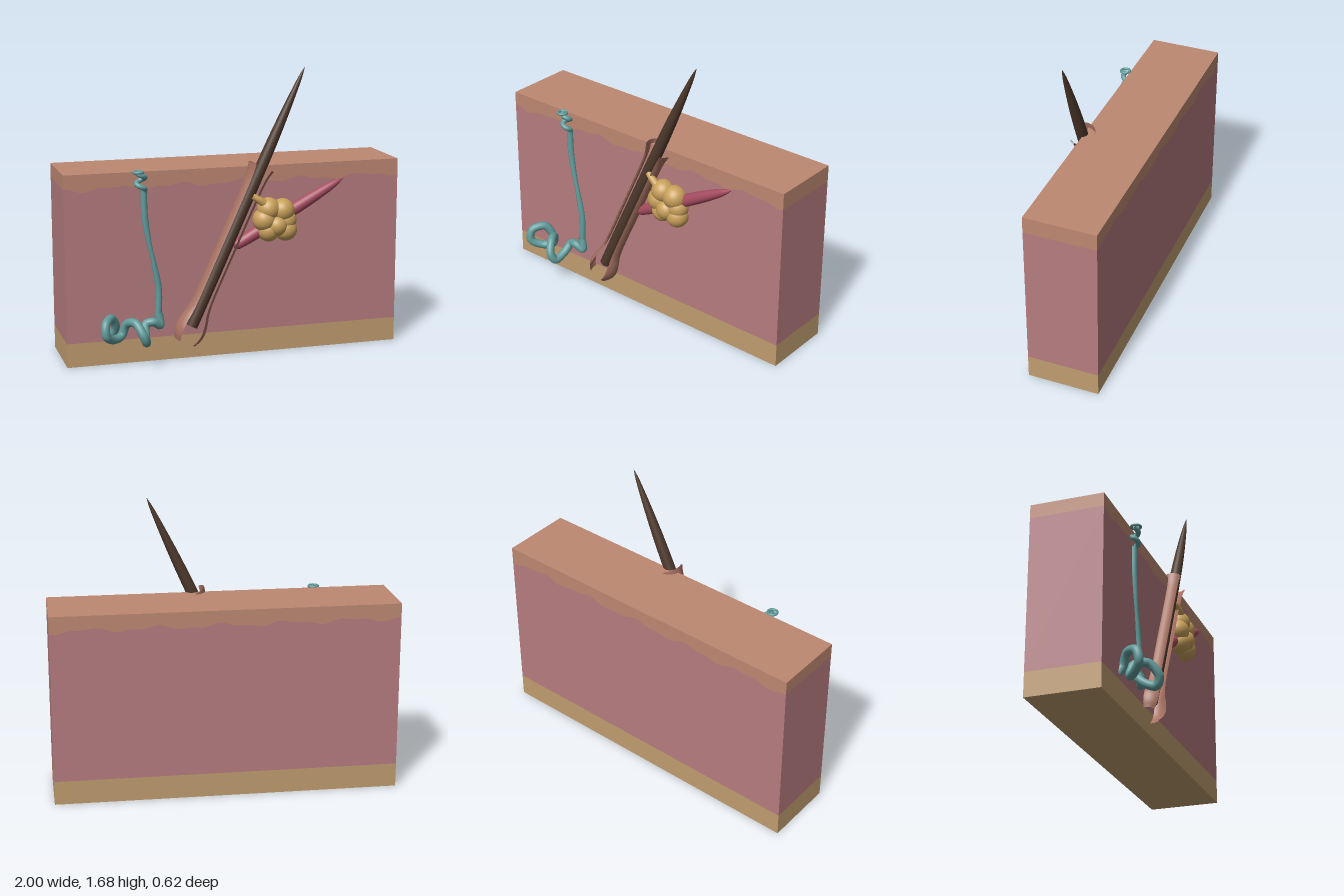
import * as THREE from 'three';

const V = (p) => new THREE.Vector3(...p);
const mat = (name, color, side = THREE.FrontSide) => {
  const m = new THREE.MeshStandardMaterial({ color, side });
  m.name = name;
  return m;
};

export function createModel() {
  const root = new THREE.Group();
  root.name = 'skinSection';

  const outerSkin = mat('outerSkin', 0xbd8872);
  const midSkin = mat('midSkin', 0xb57c80);
  const fat = mat('fat', 0xc09d70);
  const hairBrown = mat('hairBrown', 0x4e392c);
  const sheathBrown = mat('sheathBrown', 0xa87262, THREE.DoubleSide);
  const glandYellow = mat('glandYellow', 0xc8a05a);
  const muscleRed = mat('muscleRed', 0xa64c60);
  const ductTeal = mat('ductTeal', 0x629c9c, THREE.DoubleSide);

  const add = (name, geometry, material, parent = root) => {
    const mesh = new THREE.Mesh(geometry, material);
    mesh.name = name;
    parent.add(mesh);
    return mesh;
  };

  // Block of skin layers, with a wavy border under the outer layer
  const back = -0.31, depth = 0.425, top = 1.115, fatTop = 0.14;
  const wave = [];
  for (let i = 0; i <= 80; i++) {
    const x = -1 + i / 40;
    wave.push([x, 1.028 + 0.011 * Math.sin(x * 17 + 1) + 0.006 * Math.sin(x * 37)]);
  }
  const layer = (name, edgeY, material) => {
    const pts = [...wave, [1, edgeY], [-1, edgeY]].map(([x, y]) => new THREE.Vector2(x, y));
    const g = new THREE.ExtrudeGeometry(new THREE.Shape(pts), { depth, bevelEnabled: false });
    g.translate(0, 0, back);
    add(name, g, material);
  };
  layer('outerSkinLayer', top, outerSkin);
  layer('middleSkinLayer', fatTop, midSkin);
  const fatBox = new THREE.BoxGeometry(2, fatTop, depth);
  fatBox.translate(0, fatTop / 2, back + depth / 2);
  add('fatLayer', fatBox, fat);

  // Lathe through smoothed [radius, height] points
  const turned = (points, phiStart = 0, phiLength = Math.PI * 2) => {
    const curve = new THREE.CatmullRomCurve3(points.map(([r, y]) => V([r, y, 0])));
    const pts = curve.getPoints(48).map((p) => new THREE.Vector2(Math.max(0, p.x), p.y));
    return new THREE.LatheGeometry(pts, 32, phiStart, phiLength);
  };

  // Tilted hair and its open sheath
  const hairGroup = new THREE.Group();
  hairGroup.name = 'hairAndSheath';
  hairGroup.position.set(-0.27, 0.193, 0.127);
  hairGroup.rotation.z = -0.428;
  root.add(hairGroup);
  add('hairShaft', turned([
    [0.035, 0], [0.036, 0.3], [0.035, 0.7], [0.034, 1.0], [0.03, 1.22], [0.019, 1.45], [0.009, 1.58], [0, 1.637],
  ]), hairBrown, hairGroup);
  const base = new THREE.CircleGeometry(0.035, 32);
  base.rotateX(Math.PI / 2);
  add('hairBase', base, hairBrown, hairGroup);

  const gap = 0.75;
  const sheathProfile = [
    [0.066, -0.1], [0.083, -0.065], [0.091, -0.02], [0.083, 0.04], [0.068, 0.1],
    [0.061, 0.17], [0.06, 0.5], [0.061, 0.85], [0.066, 0.95], [0.079, 1.01],
  ];
  add('sheathOuter', turned(sheathProfile, gap, Math.PI * 2 - gap * 2), sheathBrown, hairGroup);
  add('sheathInner', turned(sheathProfile.map(([r, y]) => [r - 0.006, y]), gap, Math.PI * 2 - gap * 2),
    sheathBrown, hairGroup);

  // Small muscle, a spindle leaning to the left
  const muscle = add('muscle', turned([
    [0, 0], [0.024, 0.012], [0.034, 0.08], [0.037, 0.25], [0.037, 0.42], [0.032, 0.58], [0.019, 0.71], [0, 0.775],
  ]), muscleRed);
  muscle.position.set(-0.015, 0.645, 0.118);
  muscle.rotation.z = -Math.atan2(0.675, 0.375);

  // Tube whose radius follows a rule along its length
  const tube = (points, radius, segments) => {
    const curve = new THREE.CatmullRomCurve3(points.map(V));
    const sides = 16;
    const g = new THREE.TubeGeometry(curve, segments, 1, sides);
    const pos = g.attributes.position, nor = g.attributes.normal;
    for (let i = 0; i < pos.count; i++) {
      const t = Math.floor(i / (sides + 1)) / segments;
      const shift = radius(t) - 1;
      pos.setXYZ(i, pos.getX(i) + nor.getX(i) * shift, pos.getY(i) + nor.getY(i) * shift,
        pos.getZ(i) + nor.getZ(i) * shift);
    }
    return g;
  };

  // Oil gland: a cluster of lobes with a short duct
  const gland = new THREE.Group();
  gland.name = 'oilGland';
  root.add(gland);
  [
    [0.165, 0.8, 0.14, 0.07], [0.19, 0.862, 0.14, 0.068], [0.275, 0.85, 0.14, 0.07],
    [0.295, 0.735, 0.14, 0.067], [0.19, 0.735, 0.14, 0.065], [0.295, 0.79, 0.135, 0.065],
    [0.235, 0.765, 0.16, 0.062],
  ].forEach(([x, y, z, r]) => {
    const lobe = add('glandLobe', new THREE.SphereGeometry(r, 28, 20), glandYellow, gland);
    lobe.position.set(x, y, z);
  });
  add('glandDuct', tube([[0.09, 0.945, 0.15], [0.13, 0.92, 0.16], [0.2, 0.865, 0.16]],
    (t) => 0.018 + 0.01 * t, 20), glandYellow, gland);

  // Sweat gland: coil at the bottom, long duct, corkscrew and pore at the top
  const sweat = new THREE.Group();
  sweat.name = 'sweatGland';
  root.add(sweat);
  add('sweatCoil', tube([
    [-0.74, 0.17, 0.1], [-0.72, 0.225, 0.125], [-0.75, 0.285, 0.16], [-0.795, 0.27, 0.225],
    [-0.795, 0.205, 0.24], [-0.74, 0.168, 0.19], [-0.69, 0.18, 0.155], [-0.665, 0.245, 0.165],
    [-0.625, 0.265, 0.23], [-0.59, 0.2, 0.28], [-0.57, 0.155, 0.26], [-0.56, 0.18, 0.19],
    [-0.545, 0.23, 0.14], [-0.5, 0.24, 0.145], [-0.46, 0.215, 0.13], [-0.467, 0.285, 0.12],
  ], () => 0.025, 220), ductTeal, sweat);
  add('sweatDuct', tube([
    [-0.467, 0.26, 0.12], [-0.463, 0.42, 0.12], [-0.49, 0.58, 0.121], [-0.52, 0.72, 0.121],
    [-0.54, 0.86, 0.12], [-0.545, 1.01, 0.12],
  ], (t) => 0.019 - 0.006 * Math.exp(-(((t - 0.52) / 0.14) ** 2)), 80), ductTeal, sweat);
  const corkscrew = [[-0.545, 0.99, 0.12]];
  for (let i = 0; i <= 12; i++) {
    const a = i * 0.75;
    corkscrew.push([-0.563 + 0.024 * Math.cos(a), 1.015 + i * 0.008, 0.13 + 0.02 * Math.sin(a)]);
  }
  add('sweatCorkscrew', tube(corkscrew, () => 0.015, 100), ductTeal, sweat);
  const pore = add('sweatPore', new THREE.TorusGeometry(0.026, 0.008, 10, 28), ductTeal, sweat);
  pore.rotation.x = Math.PI / 2;
  pore.position.set(-0.58, 1.117, 0.145);

  return root;
}
